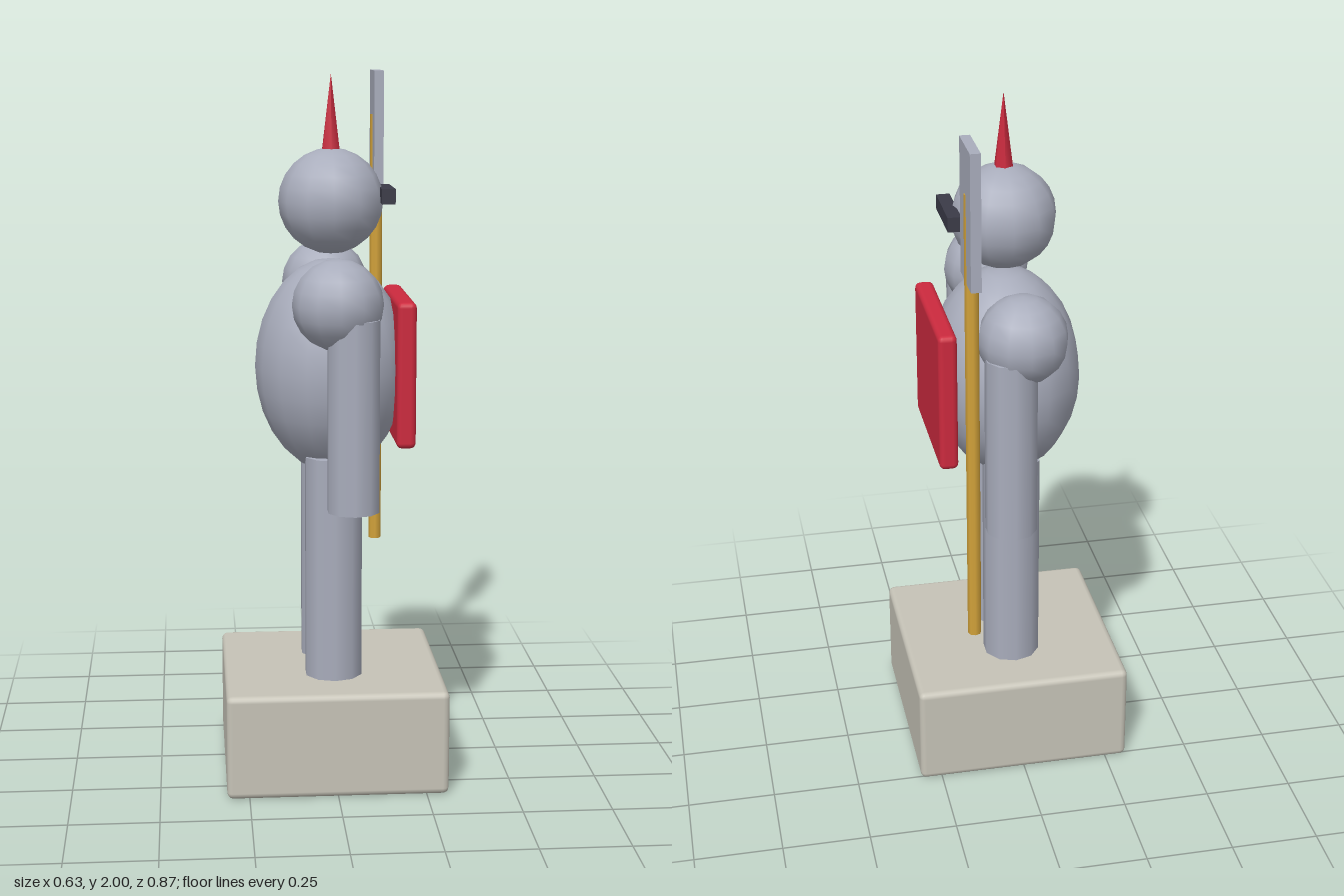
import * as THREE from 'three';
import { RoundedBoxGeometry } from 'three/addons/geometries/RoundedBoxGeometry.js';

const material = (name, color) => {
  const m = new THREE.MeshStandardMaterial({ color });
  m.name = name;
  return m;
};

export function createModel() {
  const steel = material('steel', 0xa9adbc);
  const red = material('red', 0xcc2a3e);
  const gold = material('gold', 0xd2a23a);
  const stone = material('stone', 0xc6c3b7);
  const dark = material('dark', 0x3b3b48);

  const model = new THREE.Group();
  model.name = 'guardStatue';
  const midZ = 0.047; // the figure's own centre line; it looks toward +x

  const add = (name, geometry, mat, x, y, z) => {
    const mesh = new THREE.Mesh(geometry, mat);
    mesh.name = name;
    mesh.position.set(x, y, z);
    model.add(mesh);
    return mesh;
  };

  // Plinth
  add('plinth', new RoundedBoxGeometry(0.626, 0.3, 0.626, 2, 0.018), stone, 0, 0.15, midZ);

  // Legs, arms and shoulders, mirrored about the centre line
  for (const [label, s] of [['left', 1], ['right', -1]]) {
    add(label + 'Leg', new THREE.CylinderGeometry(0.083, 0.083, 0.65, 10), steel, 0, 0.615, midZ + s * 0.103);
    add(label + 'Arm', new THREE.CylinderGeometry(0.073, 0.073, 0.53, 10), steel, 0.04, 1.09, midZ + s * 0.3);
    add(label + 'Shoulder', new THREE.SphereGeometry(0.125, 12, 10), steel, 0, 1.39, midZ + s * 0.265);
  }

  // Egg-shaped torso
  add('torso', new THREE.SphereGeometry(1, 16, 14), steel, 0, 1.182, midZ).scale.set(0.216, 0.305, 0.252);

  // Head, visor and plume
  add('head', new THREE.SphereGeometry(0.148, 12, 12), steel, 0, 1.648, midZ);
  add('visor', new THREE.BoxGeometry(0.038, 0.042, 0.187), dark, 0.154, 1.666, midZ);
  add('plume', new THREE.ConeGeometry(0.03, 0.23, 6), red, 0, 1.885, midZ);

  // Shield
  add('shield', new RoundedBoxGeometry(0.054, 0.41, 0.41, 2, 0.016), red, 0.196, 1.18, midZ);

  // Polearm
  add('shaft', new THREE.CylinderGeometry(0.019, 0.019, 1.305, 8), gold, 0.167, 1.218, -0.363);
  add('blade', new THREE.BoxGeometry(0.028, 0.37, 0.147), steel, 0.168, 1.815, -0.363);

  return model;
}
